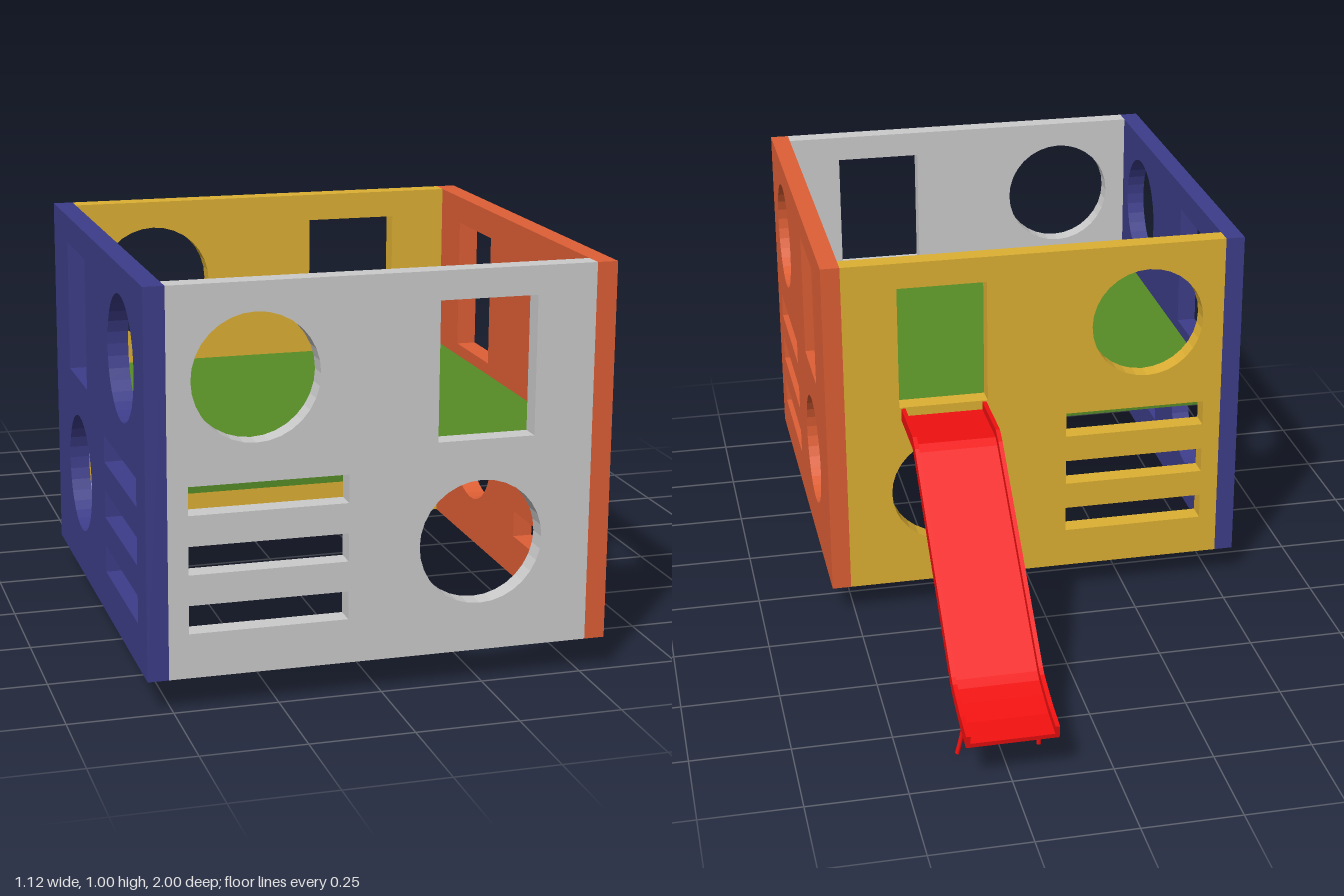
import * as THREE from 'three';

const WALL = 0.05, BOTTOM = 0.08, TOP = 1, MID_Z = 0.44;

function part(name, geometry, color) {
  const mesh = new THREE.Mesh(geometry, new THREE.MeshStandardMaterial({ color }));
  mesh.name = name;
  return mesh;
}

function extrude(shape, depth) {
  return new THREE.ExtrudeGeometry(shape, { depth, bevelEnabled: false, curveSegments: 16 });
}

function rectangle(target, x0, y0, x1, y1) {
  target.moveTo(x0, y0).lineTo(x1, y0).lineTo(x1, y1).lineTo(x0, y1).closePath();
  return target;
}

// Panel with two round holes, a window and three slots
function wallGeometry(width) {
  const shape = rectangle(new THREE.Shape(), -width / 2, BOTTOM, width / 2, TOP);
  for (const [x, y] of [[-0.303, 0.78], [0.24, 0.348]]) {
    shape.holes.push(new THREE.Path().absarc(x, y, 0.151, 0, Math.PI * 2));
  }
  shape.holes.push(rectangle(new THREE.Path(), 0.13, 0.597, 0.366, 0.931));
  for (const y of [0.187, 0.328, 0.469]) {
    shape.holes.push(rectangle(new THREE.Path(), -0.462, y, -0.083, y + 0.068));
  }
  return extrude(shape, WALL);
}

// Underside of the slide as [distance behind the origin, height]
const SLIDE_PATH = [
  [0.12, 0.56], [0.295, 0.56], [0.31, 0.549], [0.79, 0.162], [0.815, 0.147],
  [0.86, 0.132], [0.92, 0.115], [0.995, 0.104],
].map(([u, y]) => new THREE.Vector2(u, y));

// Strip of given height following the slide path, extruded across x
function slideStrip(height, x0, x1) {
  const upper = SLIDE_PATH.map((p, i) => {
    const a = SLIDE_PATH[Math.max(i - 1, 0)];
    const b = SLIDE_PATH[Math.min(i + 1, SLIDE_PATH.length - 1)];
    const t = b.clone().sub(a).normalize();
    return new THREE.Vector2(p.x - t.y * height, p.y + t.x * height);
  });
  const shape = new THREE.Shape([...SLIDE_PATH, ...upper.reverse()]);
  return extrude(shape, x1 - x0).rotateY(Math.PI / 2).translate(x0, 0, 0);
}

function leg(points) {
  const curve = new THREE.CatmullRomCurve3(points.map(([x, y]) => new THREE.Vector3(x, y, -0.855)));
  const geometry = new THREE.TubeGeometry(curve, 10, 0.006, 8);
  const mesh = part('slideLeg', geometry, 0xf01010);
  mesh.material.side = THREE.DoubleSide;
  return mesh;
}

export function createModel() {
  const model = new THREE.Group();
  model.name = 'playhouse';

  // Four walls: the side walls cover the ends of the front and back walls
  const across = wallGeometry(1.02);
  const along = wallGeometry(1.12).rotateY(Math.PI / 2);
  const front = part('frontWall', across, 0xcccccc);
  front.position.z = 0.95;
  const back = part('backWall', across, 0xdeb033);
  back.position.z = -0.12;
  const left = part('leftWall', along, 0xde5f35);
  left.position.set(0.51, 0, MID_Z);
  const right = part('rightWall', along, 0x3d3d8a);
  right.position.set(-0.56, 0, MID_Z);
  model.add(front, back, left, right);

  // Raised floor
  const floor = part('floor', new THREE.BoxGeometry(1.02, 0.06, 1.02), 0x568c26);
  floor.position.set(0, 0.536, MID_Z);
  model.add(floor);

  // Slide: bed, side rims and legs
  const slide = new THREE.Group();
  slide.name = 'slide';
  slide.add(part('slideBed', slideStrip(0.012, 0.145, 0.35), 0xf01010));
  for (const x of [0.134, 0.35]) {
    slide.add(part('slideRim', slideStrip(0.034, x, x + 0.011), 0xf01010));
  }
  slide.add(leg([[0.154, 0.14], [0.154, 0.07], [0.154, 0]]));
  slide.add(leg([[0.337, 0.14], [0.338, 0.09], [0.343, 0.06], [0.357, 0]]));
  model.add(slide);

  return model;
}
